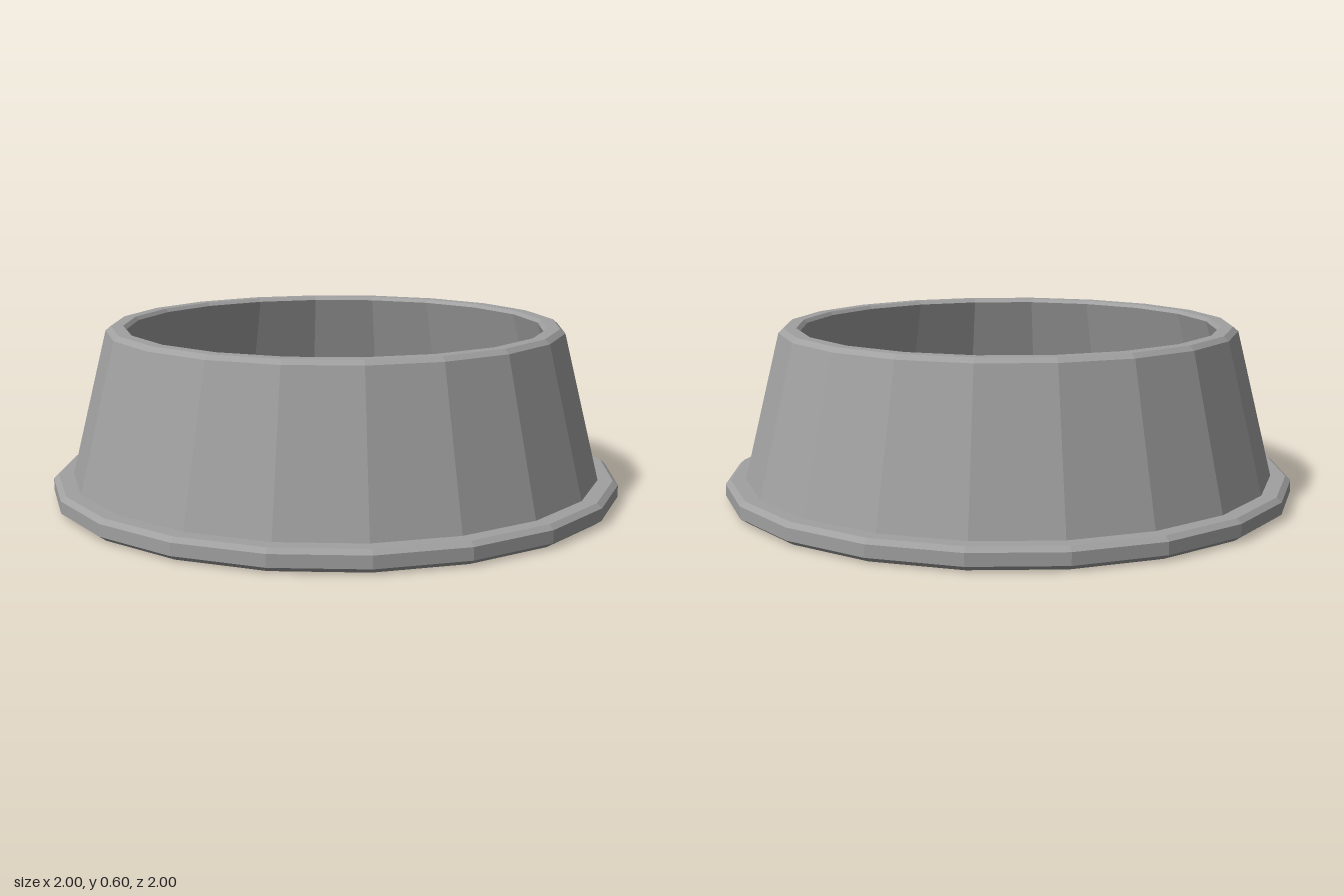
import * as THREE from 'three';

const SIDES = 20;

export function createModel() {
  const group = new THREE.Group();
  group.name = 'bowl';
  const grey = new THREE.MeshStandardMaterial({ color: 0xa0a0a0, flatShading: true });
  grey.name = 'grey';

  // Revolves a [radius, height] profile into one faceted part
  const addRing = (name, profile) => {
    const points = profile.map(([r, y]) => new THREE.Vector2(r, y));
    const geometry = new THREE.LatheGeometry(points, SIDES).toNonIndexed();
    geometry.computeVertexNormals();
    const mesh = new THREE.Mesh(geometry, grey);
    mesh.name = name;
    group.add(mesh);
  };

  // Closed underside and bevelled foot flange
  addRing('footFlange', [[0, 0], [0.975, 0], [1, 0.018], [1, 0.06], [0.982, 0.075], [0.93, 0.075]]);
  // Tapered outer wall
  addRing('outerWall', [[0.93, 0.075], [0.803, 0.585]]);
  // Flat rim with a small bevel on each edge
  addRing('rim', [[0.803, 0.585], [0.785, 0.6], [0.742, 0.6], [0.73, 0.588]]);
  // Undercut inner wall, sloping sides and flat floor
  addRing('innerBowl', [[0.73, 0.588], [0.8, 0.34], [0.575, 0.1], [0, 0.1]]);

  return group;
}
